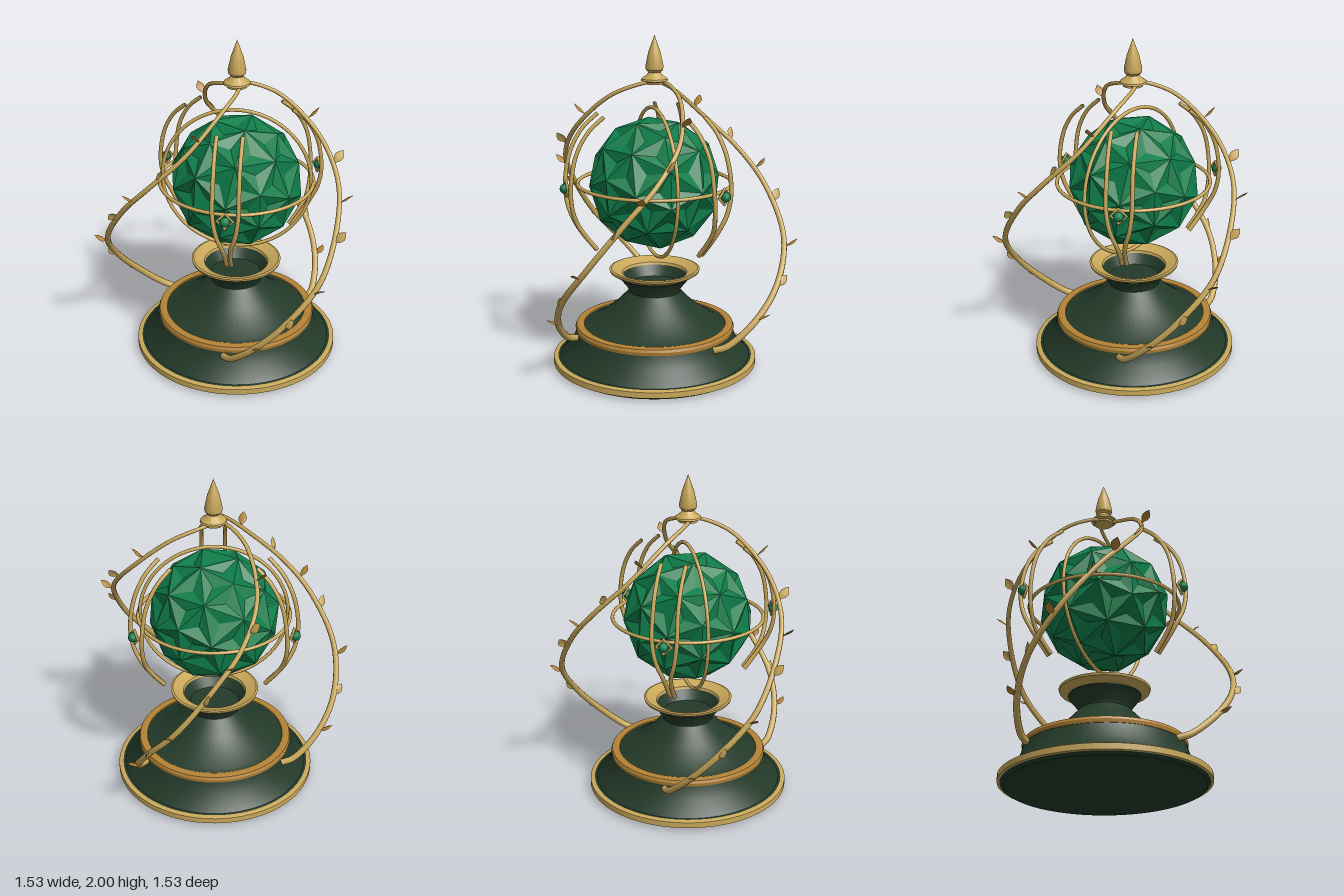
import * as THREE from 'three';
import { toCreasedNormals } from 'three/addons/utils/BufferGeometryUtils.js';

const V = (x, y, z) => new THREE.Vector3(x, y, z);
const mat = (name, color) => new THREE.MeshStandardMaterial({ name, color, side: THREE.DoubleSide });

function add(parent, name, geometry, material) {
  const mesh = new THREE.Mesh(geometry, material);
  mesh.name = name;
  parent.add(mesh);
  return mesh;
}

function lathe(points, segments = 72) {
  const pts = points.map(([r, y]) => new THREE.Vector2(r, y));
  return toCreasedNormals(new THREE.LatheGeometry(pts, segments), 0.5);
}

// Faceted sphere whose triangles are each dented at the centre
function dentedGem(radius, dent) {
  const src = new THREE.IcosahedronGeometry(radius, 1).getAttribute('position');
  const out = [];
  for (let i = 0; i < src.count; i += 3) {
    const c = [0, 1, 2].map(k => new THREE.Vector3().fromBufferAttribute(src, i + k));
    const mid = V(0, 0, 0).add(c[0]).add(c[1]).add(c[2]).multiplyScalar(dent / 3);
    for (let k = 0; k < 3; k++) out.push(...c[k].toArray(), ...c[(k + 1) % 3].toArray(), ...mid.toArray());
  }
  const g = new THREE.BufferGeometry();
  g.setAttribute('position', new THREE.Float32BufferAttribute(out, 3));
  // Turn one triangle to face straight up
  g.applyQuaternion(new THREE.Quaternion().setFromUnitVectors(V(1, 1, 1).normalize(), V(0, 1, 0)));
  g.computeVertexNormals();
  return g;
}

// Tube that changes radius evenly from r0 to r1, with closed ends
function taperedTube(curve, r0, r1, steps, sides) {
  const g = new THREE.TubeGeometry(curve, steps, 1, sides);
  const pos = g.getAttribute('position');
  const p = V(0, 0, 0);
  for (let i = 0; i < pos.count; i++) {
    const t = Math.floor(i / (sides + 1)) / steps;
    const c = curve.getPointAt(t);
    p.fromBufferAttribute(pos, i).sub(c).multiplyScalar(r0 + (r1 - r0) * t).add(c);
    pos.setXYZ(i, p.x, p.y, p.z);
  }
  const index = [...g.index.array], last = steps * (sides + 1);
  for (let j = 1; j < sides - 1; j++) index.push(0, j, j + 1, last, last + j + 1, last + j);
  g.setIndex(index);
  return g;
}

// Folded pointed leaf growing along dir, widening along side
function leafGeometry(base, dir, side, length) {
  const normal = V(0, 0, 0).crossVectors(dir, side).normalize();
  const widths = [0.004, 0.008, 0.024, 0.027, 0.017, 0];
  const pos = [], index = [];
  widths.forEach((w, i) => {
    const u = i / (widths.length - 1);
    const spine = base.clone().addScaledVector(dir, u * length).addScaledVector(normal, 0.03 * u * u);
    for (const s of [-1, 0, 1]) {
      pos.push(...spine.clone().addScaledVector(side, s * w).addScaledVector(normal, Math.abs(s) * w * 0.4).toArray());
    }
    if (i) for (const k of [0, 1]) {
      const a = (i - 1) * 3 + k;
      index.push(a, a + 1, a + 3, a + 1, a + 4, a + 3);
    }
  });
  const g = new THREE.BufferGeometry();
  g.setAttribute('position', new THREE.Float32BufferAttribute(pos, 3));
  g.setIndex(index);
  g.computeVertexNormals();
  return g;
}

export function createModel() {
  const gold = mat('gold', 0xc9a85a);
  const bronze = mat('bronze', 0xb48336);
  const darkGreen = mat('dark green', 0x233a29);
  const emerald = mat('emerald', 0x0f7d4a);

  const model = new THREE.Group();
  model.name = 'gemOrnament';
  model.position.set(0.08, 0, 0.035);

  // Stepped pedestal
  add(model, 'pedestalFoot', lathe([[0, 0], [0.58, 0], [0.605, 0.02], [0.605, 0.055], [0.575, 0.06],
    [0.5, 0.14], [0.475, 0.22], [0.44, 0.25], [0.4, 0.25]]), darkGreen);
  add(model, 'footRim', lathe([[0.59, 0.015], [0.617, 0.02], [0.617, 0.055], [0.607, 0.06], [0.59, 0.06]]), gold);
  add(model, 'pedestalRing', lathe([[0.45, 0.213], [0.478, 0.22], [0.482, 0.24], [0.475, 0.257],
    [0.455, 0.262], [0.43, 0.258], [0.425, 0.24]]), bronze);
  add(model, 'pedestalNeck', lathe([[0.43, 0.25], [0.39, 0.26], [0.24, 0.37], [0.155, 0.46],
    [0.16, 0.48], [0.215, 0.55], [0.215, 0.56]]), darkGreen);
  add(model, 'cupLip', lathe([[0.2, 0.55], [0.235, 0.562], [0.268, 0.583], [0.272, 0.598], [0.26, 0.602],
    [0.195, 0.575], [0.19, 0.56]]), gold);
  add(model, 'cupInside', lathe([[0.2, 0.575], [0.15, 0.5], [0, 0.49]]), darkGreen);

  // Large faceted gem
  const gem = add(model, 'gem', dentedGem(0.395, 0.93), emerald);
  gem.position.y = 1.13;
  gem.rotation.y = 0.35;

  // Crossing rings around the gem
  const level = add(model, 'levelRing', new THREE.TorusGeometry(0.456, 0.011, 10, 80), gold);
  level.rotation.x = Math.PI / 2;
  level.position.y = 1.13;
  add(model, 'uprightRing', new THREE.TorusGeometry(0.444, 0.011, 10, 80), gold).position.y = 1.13;

  // Finial
  add(model, 'finial', lathe([[0, 1.715], [0.058, 1.718], [0.06, 1.73], [0.079, 1.737], [0.076, 1.748],
    [0.045, 1.77], [0.036, 1.785], [0.05, 1.8], [0.053, 1.82], [0.036, 1.9], [0, 2]], 32), gold);

  // Bracket bars as [tangential offset, y, radius]
  const barPath = [[0.073, 1.55, 0.325], [0.073, 1.47, 0.415], [0.073, 1.34, 0.49], [0.073, 1.15, 0.525],
    [0.055, 1.02, 0.515], [0.026, 0.92, 0.48], [0.016, 0.84, 0.43], [0.014, 0.75, 0.36]];
  // Vine path as [angle from +x towards +z in degrees, radius, y]
  const vinePath = [[-80, 0.03, 1.735], [-38, 0.1, 1.72], [-17, 0.26, 1.65], [0, 0.475, 1.45], [16, 0.624, 1.25],
    [30, 0.71, 1.06], [46, 0.776, 0.79], [62, 0.744, 0.55], [75, 0.657, 0.36], [87, 0.545, 0.225], [92, 0.485, 0.2]];
  const vine = new THREE.CatmullRomCurve3(vinePath.map(([a, r, y]) => {
    const t = a * Math.PI / 180;
    return V(r * Math.cos(t), y, r * Math.sin(t));
  }));
  const vineGeo = taperedTube(vine, 0.011, 0.021, 90, 8);
  const leaves = [0.2, 0.33, 0.43, 0.53, 0.66, 0.77, 0.87].map((t, i) => {
    const p = vine.getPointAt(t);
    const out = V(p.x, 0, p.z).normalize();
    const along = vine.getTangentAt(t).negate();
    const dir = out.clone().multiplyScalar(0.6).add(V(0, 0.55, 0)).addScaledVector(along, 0.35).normalize();
    const around = V(-out.z, 0, out.x);
    const side = V(0, 0, 0).crossVectors(dir, around).normalize();
    if (i % 2 === 0) side.crossVectors(side, dir).normalize();
    return leafGeometry(p, dir, side, 0.095);
  });

  for (let k = 0; k < 3; k++) {
    const arm = new THREE.Group();
    arm.name = 'arm' + (k + 1);
    arm.rotation.y = k * Math.PI * 2 / 3;
    model.add(arm);

    // Paired bracket bars
    for (const s of [-1, 1]) {
      const curve = new THREE.CatmullRomCurve3(barPath.map(([x, y, r]) => V(s * x, y, r)));
      add(arm, 'bracketBar', taperedTube(curve, 0.012, 0.014, 40, 8), gold);
    }

    // Small jewel in a diamond setting
    const setting = add(arm, 'jewelSetting', new THREE.TorusGeometry(0.046, 0.009, 6, 4), gold);
    setting.position.set(0, 1.13, 0.535);
    const jewel = add(arm, 'jewel', new THREE.IcosahedronGeometry(0.03, 1), emerald);
    jewel.position.set(0, 1.13, 0.545);

    // Vine with leaves
    add(arm, 'vine', vineGeo, gold);
    leaves.forEach((g, i) => add(arm, 'leaf', g, i % 2 ? gold : bronze));
  }

  const root = new THREE.Group();
  root.add(model);
  return root;
}
